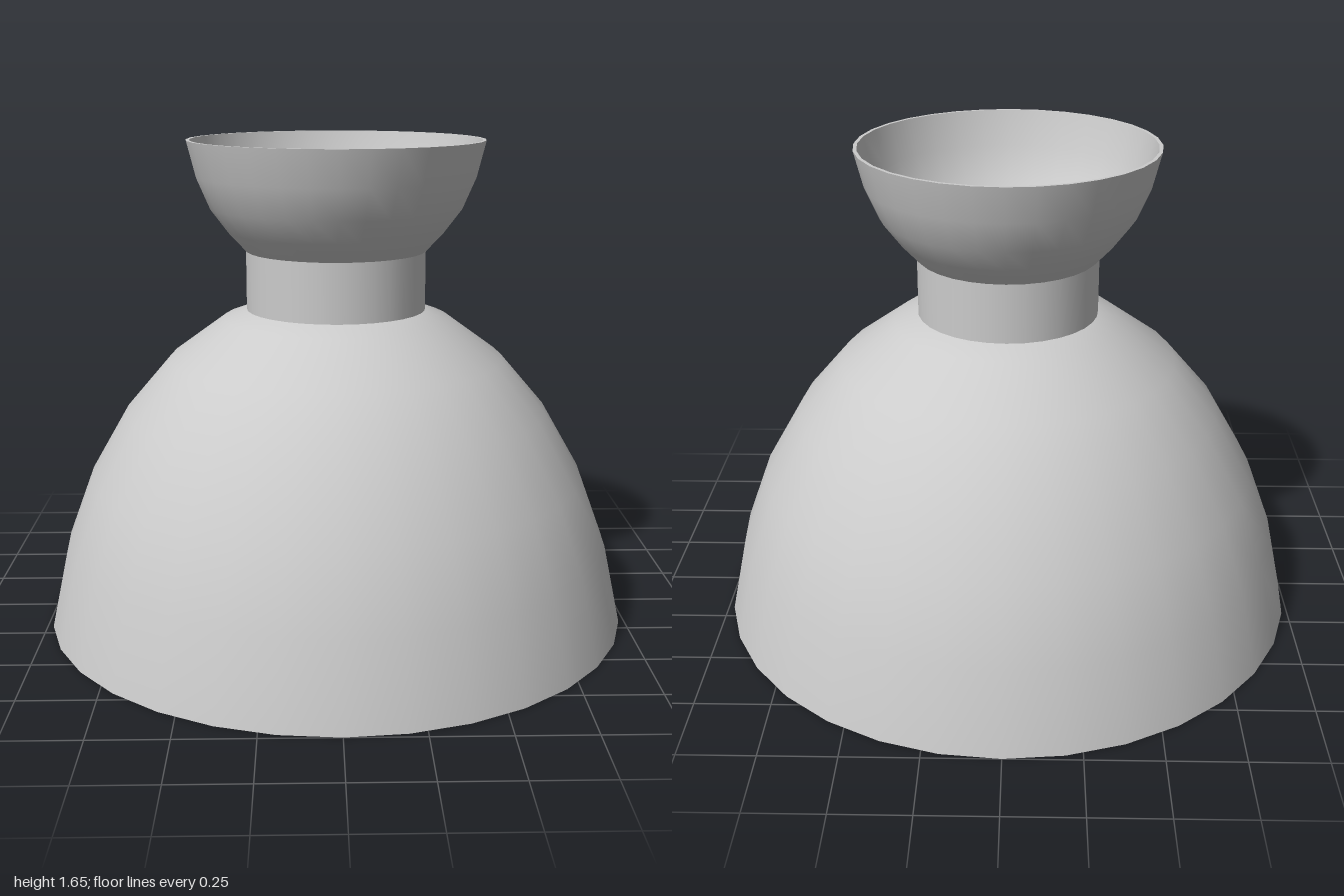
import * as THREE from 'three';

const SEGMENTS = 32;
const WALL = 0.012;
const material = new THREE.MeshStandardMaterial({ color: 0xcccccc });

// One smooth band of revolution; the profile runs upward for an outward face
function band(name, profile) {
  const points = profile.map(([r, y]) => new THREE.Vector2(r, y));
  const mesh = new THREE.Mesh(new THREE.LatheGeometry(points, SEGMENTS), material);
  mesh.name = name;
  return mesh;
}

// Thin-walled shell: outer skin, inner skin and the flat rim at its open end
function shell(name, profile, openAtTop) {
  const inner = profile.map(([r, y]) => [r - WALL, y]);
  const end = openAtTop ? profile.length - 1 : 0;
  const rim = openAtTop ? [profile[end], inner[end]] : [inner[end], profile[end]];
  const group = new THREE.Group();
  group.name = name;
  group.add(
    band(name + 'Outside', profile),
    band(name + 'Inside', inner.reverse()),
    band(name + 'Rim', rim)
  );
  return group;
}

export function createModel() {
  const model = new THREE.Group();
  model.name = 'domedStand';

  // Large hollow dome, open at the bottom
  model.add(shell('dome', [
    [1, 0], [0.94, 0.275], [0.85, 0.515], [0.72, 0.74],
    [0.57, 0.915], [0.385, 1.05], [0.305, 1.08],
  ], false));

  // Solid neck, which closes the dome and forms the floor of the bowl
  const neck = new THREE.Mesh(new THREE.CylinderGeometry(0.305, 0.305, 0.2, SEGMENTS), material);
  neck.name = 'neck';
  neck.position.y = 1.18;
  model.add(neck);

  // Small flared bowl, open at the top
  model.add(shell('bowl', [
    [0.305, 1.28], [0.365, 1.345], [0.425, 1.425], [0.47, 1.53], [0.5, 1.65],
  ], true));

  return model;
}
